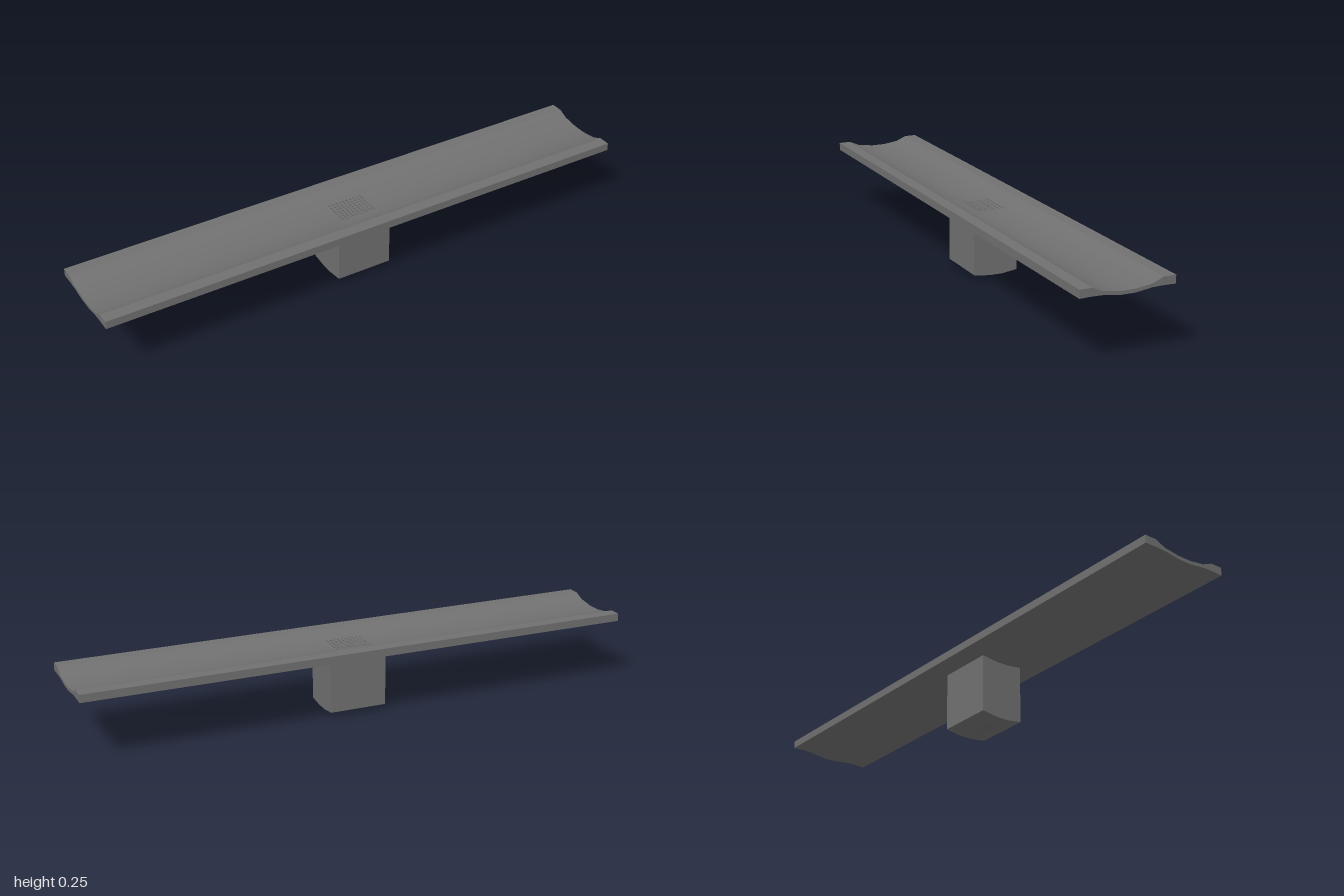
import * as THREE from 'three';
import { toCreasedNormals } from 'three/addons/utils/BufferGeometryUtils.js';

const GX = 0.073, GZ = 0.057;          // half size of the drain opening
const BX = 0.103, BZ = 0.082;          // half size of the drain box

// Piecewise linear height by distance from the centre line
function heightAt(stations, z) {
  const d = Math.abs(z);
  for (let i = 1; i < stations.length; i++) {
    const [a, ya] = stations[i - 1], [b, yb] = stations[i];
    if (d <= b) return ya + (yb - ya) * (d - a) / (b - a);
  }
  return stations[stations.length - 1][1];
}

const TOP = [[0, 0.2305], [0.025, 0.2305], [0.083, 0.2385], [0.12, 0.2545], [0.163, 0.2545]];
const UNDER = [[0, 0.2185], [0.025, 0.2185], [0.083, 0.2265], [0.12, 0.2275], [0.163, 0.2265]];
const BOX_EDGE = [[0, 0.009], [0.025, 0.009], [BZ, 0.017]];
const BOX_FLOOR = [[0, 0], [0.012, 0], [0.055, 0.006], [BZ, 0.017]];

export function createModel() {
  const group = new THREE.Group();
  const material = new THREE.MeshStandardMaterial({ color: 0x707070, side: THREE.DoubleSide });
  const add = (name, geometry) => {
    const mesh = new THREE.Mesh(toCreasedNormals(geometry, 0.35), material);
    mesh.name = name;
    group.add(mesh);
  };
  const bend = (geometry, rule) => {
    const p = geometry.attributes.position;
    for (let i = 0; i < p.count; i++) p.setY(i, rule(p.getY(i), p.getZ(i)));
    return geometry;
  };

  // Length of channel with its section limited to z0..z1
  function channel(name, x0, x1, z0, z1) {
    const zs = [-0.163, -0.12, -0.083, -0.025, 0.025, 0.083, 0.12, 0.163]
      .filter((z) => z > z0 && z < z1);
    const all = [z0, ...zs, z1];
    const points = [
      ...all.map((z) => new THREE.Vector2(z, heightAt(UNDER, z))),
      ...all.reverse().map((z) => new THREE.Vector2(z, heightAt(TOP, z))),
    ];
    const g = new THREE.ExtrudeGeometry(new THREE.Shape(points), { depth: x1 - x0, bevelEnabled: false });
    g.rotateY(-Math.PI / 2).translate(x1, 0, 0);
    add(name, g);
  }
  channel('channelRight', -1, -GX, -0.163, 0.163);
  channel('channelLeft', GX, 1, -0.163, 0.163);
  channel('channelBack', -GX, GX, -0.163, -GZ);
  channel('channelFront', -GX, GX, GZ, 0.163);

  // Closed outline in x and z, with points where the section changes slope
  function outline(Type, hx, hz) {
    const zs = [-hz, -0.025, 0.025, hz];
    return new Type([
      ...zs.map((z) => new THREE.Vector2(hx, z)),
      ...zs.reverse().map((z) => new THREE.Vector2(-hx, z)),
    ]);
  }

  // Perforated grate following the curve of the channel
  const grate = outline(THREE.Shape, GX, GZ);
  const cols = 10, rows = 8, dx = 0.0138, dz = 0.0132;
  for (let i = 0; i < cols; i++) {
    for (let j = 0; j < rows; j++) {
      const hole = new THREE.Path();
      hole.absarc((i - (cols - 1) / 2) * dx, (j - (rows - 1) / 2) * dz, 0.0045, 0, Math.PI * 2, true);
      grate.holes.push(hole);
    }
  }
  const grateGeometry = new THREE.ExtrudeGeometry(grate, { depth: 1, bevelEnabled: false, curveSegments: 4 });
  grateGeometry.rotateX(-Math.PI / 2);
  add('drainGrate', bend(grateGeometry, (y, z) => heightAt(y > 0.5 ? TOP : UNDER, z)));

  // Hollow drain box, its upper rim fitted to the underside of the channel
  const walls = outline(THREE.Shape, BX, BZ);
  walls.holes.push(outline(THREE.Path, BX - 0.012, BZ - 0.012));
  const wallGeometry = new THREE.ExtrudeGeometry(walls, { depth: 1, bevelEnabled: false });
  wallGeometry.rotateX(-Math.PI / 2);
  add('drainBoxWalls', bend(wallGeometry, (y, z) => heightAt(y > 0.5 ? UNDER : BOX_EDGE, z)));

  // Shallow domed floor, fullest either side of the centre
  const floor = new THREE.PlaneGeometry(2, 2, 4, 7).rotateX(Math.PI / 2);
  const xs = [-BX, -0.06, 0, 0.06, BX];
  const zs = [-BZ, -0.055, -0.025, -0.012, 0.012, 0.025, 0.055, BZ];
  const fullness = [0, 1, 0.55, 1, 0];
  const p = floor.attributes.position;
  for (let i = 0; i < p.count; i++) {
    const ix = Math.round((p.getX(i) + 1) * 2);
    const z = zs[Math.round((p.getZ(i) + 1) * 3.5)];
    const edge = heightAt(BOX_EDGE, z);
    p.setXYZ(i, xs[ix], edge + (heightAt(BOX_FLOOR, z) - edge) * fullness[ix], z);
  }
  add('drainBoxFloor', floor);

  return group;
}
